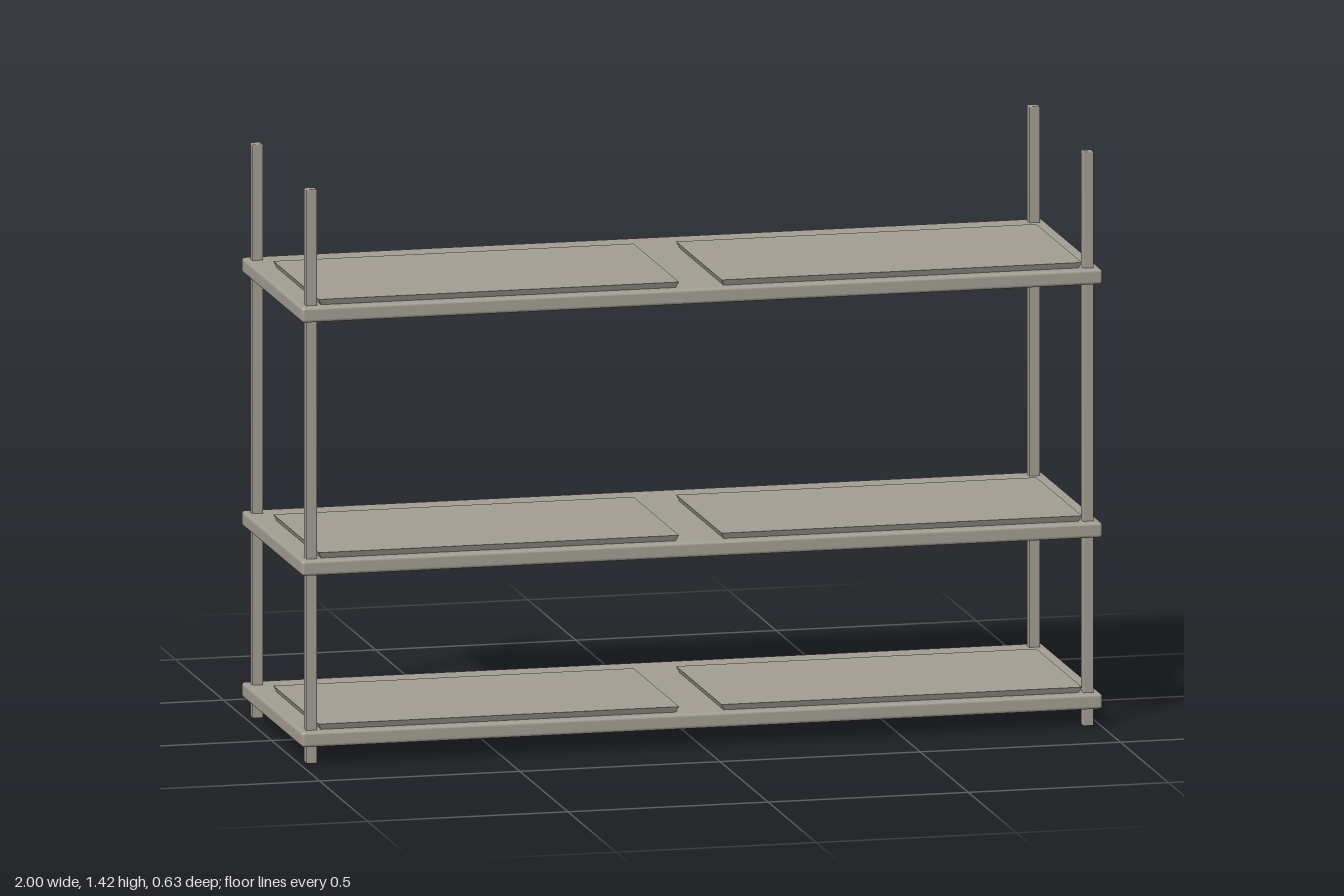
import * as THREE from 'three';
import { RoundedBoxGeometry } from 'three/addons/geometries/RoundedBoxGeometry.js';

// Thin mat whose sides lean inward toward the bottom
function matGeometry(w, h, d, inset) {
  const g = new THREE.BoxGeometry(w, h, d);
  const p = g.attributes.position;
  for (let i = 0; i < p.count; i++) {
    if (p.getY(i) < 0) {
      p.setX(i, p.getX(i) - Math.sign(p.getX(i)) * inset);
      p.setZ(i, p.getZ(i) - Math.sign(p.getZ(i)) * inset);
    }
  }
  g.computeVertexNormals();
  return g;
}

export function createModel() {
  const model = new THREE.Group();
  const metal = new THREE.MeshStandardMaterial({ color: 0xa09c91 });
  metal.name = 'warm grey';

  const add = (parent, name, geometry, x, y, z) => {
    const mesh = new THREE.Mesh(geometry, metal);
    mesh.name = name;
    mesh.position.set(x, y, z);
    parent.add(mesh);
  };

  // Four corner posts
  const postGeo = new RoundedBoxGeometry(0.027, 1.424, 0.027, 1, 0.003);
  for (const x of [-0.97, 0.97])
    for (const z of [-0.28, 0.28]) add(model, 'post', postGeo, x, 0.712, z);

  // Three shelves, each with two mats on top and a thin strip underneath
  const boardGeo = new RoundedBoxGeometry(2, 0.038, 0.632, 3, 0.008);
  const matGeo = matGeometry(0.9, 0.015, 0.474, 0.007);
  const stripGeo = new THREE.BoxGeometry(1.9, 0.005, 0.036);
  for (const y of [0.064, 0.489, 1.117]) {
    const shelf = new THREE.Group();
    shelf.name = 'shelf';
    shelf.position.y = y;
    add(shelf, 'board', boardGeo, 0, 0, 0);
    for (const side of [-1, 1]) add(shelf, 'mat', matGeo, side * 0.503, 0.0262, 0.058);
    add(shelf, 'undersideStrip', stripGeo, 0, -0.0205, 0.218);
    model.add(shelf);
  }
  return model;
}
